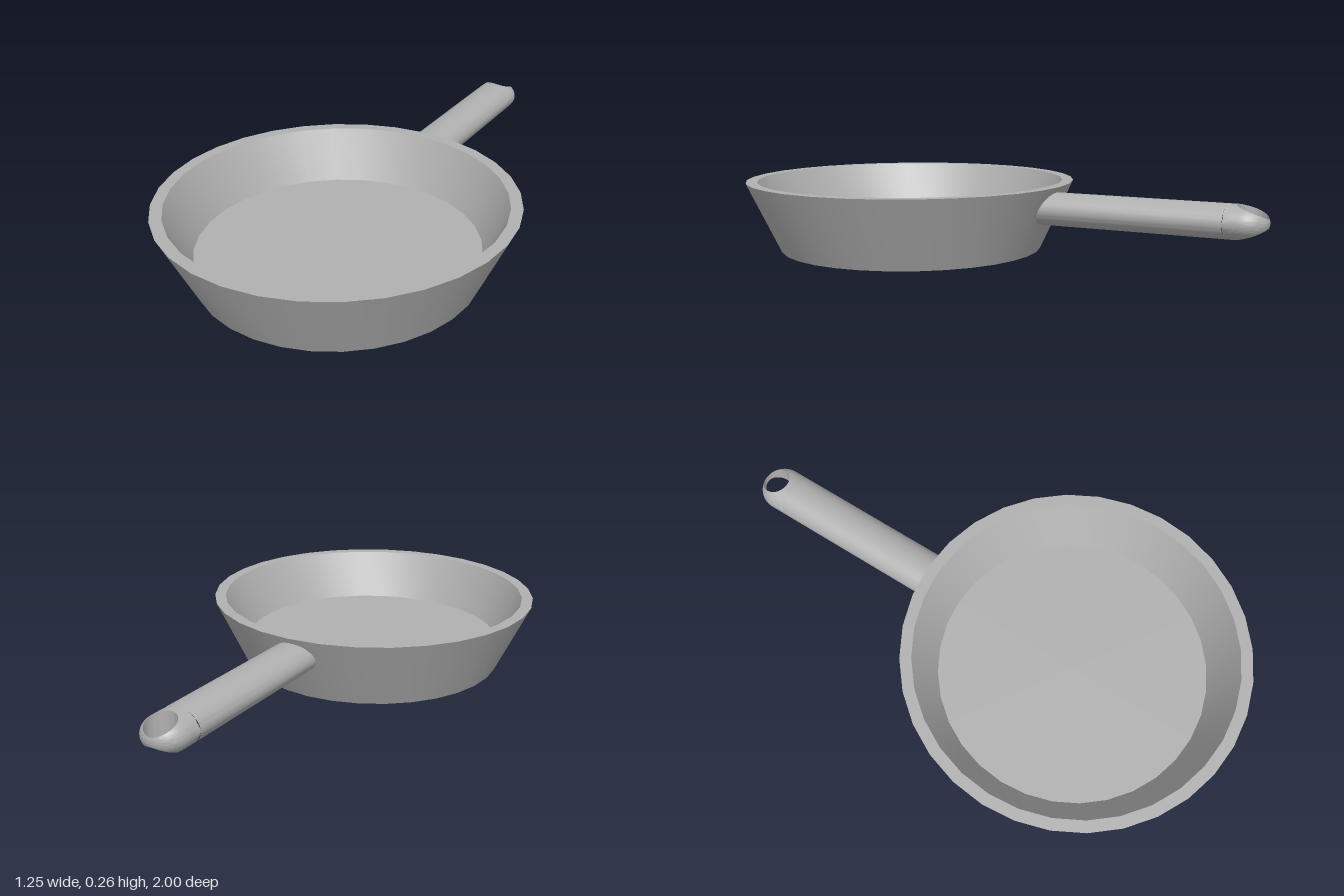
import * as THREE from 'three';
import { toCreasedNormals } from 'three/addons/utils/BufferGeometryUtils.js';

const PAN_Z = 0.375, R_BASE = 0.5, R_RIM = 0.625, HEIGHT = 0.265;
const HALF_W = 0.0825, HALF_H = 0.06, HANDLE_Y = 0.185; // oval handle section
const ROUND_Z = -0.9175;               // where the rounded tip begins
const HOLE_Z = -0.945, HOLE_R = 0.052; // hanging hole
const JOIN_Z = HOLE_Z + HALF_W;        // seam between grip and pierced tip

// Height of the handle surface above its middle plane
function handleHeight(x, z) {
  const dz = Math.min(0, z - ROUND_Z);
  return HALF_H * Math.sqrt(Math.max(0, 1 - (x * x + dz * dz) / (HALF_W * HALF_W)));
}

// Distance from the hole centre to the tip outline
function outlineDistance(angle) {
  const s = Math.abs(Math.sin(angle)), c = Math.cos(angle);
  const side = HALF_W / Math.max(s, 1e-6);
  if (HOLE_Z + side * c >= ROUND_Z) return c > 0 ? Math.min(side, HALF_W / c) : side;
  const off = ROUND_Z - HOLE_Z;
  return off * c + Math.sqrt(HALF_W * HALF_W - off * off * s * s);
}

// Handle tip: a closed section, top and bottom, swept around the hole
function tipGeometry() {
  const around = 48, steps = 8, positions = [], index = [];
  const ring = 2 * (steps + 1);
  for (let i = 0; i < around; i++) {
    const angle = (i / around) * Math.PI * 2;
    const outer = outlineDistance(angle);
    for (let j = 0; j < ring; j++) {
      const top = j <= steps;
      const t = Math.sin(((top ? j : ring - 1 - j) / steps) * Math.PI / 2);
      const d = HOLE_R + (outer - HOLE_R) * t;
      const x = d * Math.sin(angle), z = HOLE_Z + d * Math.cos(angle);
      positions.push(x, HANDLE_Y + (top ? 1 : -1) * handleHeight(x, z), z);
    }
    for (let j = 0; j < ring; j++) {
      const k = (j + 1) % ring, n = ((i + 1) % around) * ring;
      index.push(i * ring + j, i * ring + k, n + j, i * ring + k, n + k, n + j);
    }
  }
  const geometry = new THREE.BufferGeometry();
  geometry.setAttribute('position', new THREE.Float32BufferAttribute(positions, 3));
  geometry.setIndex(index);
  return toCreasedNormals(geometry, 0.8);
}

// Grip: oval tube whose root follows the slope of the pan wall
function gripGeometry() {
  const geometry = new THREE.CylinderGeometry(1, 1, 1, 48, 1, true);
  geometry.rotateX(Math.PI / 2);
  const p = geometry.attributes.position;
  for (let i = 0; i < p.count; i++) {
    const y = HANDLE_Y + p.getY(i) * HALF_H;
    const wall = R_BASE + (R_RIM - R_BASE) * y / HEIGHT;
    p.setXYZ(i, p.getX(i) * HALF_W, y, p.getZ(i) > 0 ? PAN_Z - wall + 0.02 : JOIN_Z);
  }
  return toCreasedNormals(geometry, 0.8);
}

export function createModel() {
  const model = new THREE.Group();
  model.name = 'fryingPan';
  const metal = new THREE.MeshStandardMaterial({ color: 0xb0b0b0 });
  metal.name = 'greyMetal';

  function add(name, geometry, parent) {
    const mesh = new THREE.Mesh(geometry, metal);
    mesh.name = name;
    parent.add(mesh);
    return mesh;
  }

  // Pan: base, sloping wall, flat rim, inner wall and cooking floor
  const profile = [
    [0, 0], [R_BASE, 0], [R_RIM, HEIGHT], [0.583, HEIGHT], [0.497, 0.085], [0, 0.085],
  ].map(([r, y]) => new THREE.Vector2(r, y));
  const pan = add('panBowl', toCreasedNormals(new THREE.LatheGeometry(profile, 32), 0.6), model);
  pan.position.z = PAN_Z;

  // Handle
  const handle = new THREE.Group();
  handle.name = 'handle';
  add('handleGrip', gripGeometry(), handle);
  add('handleTip', tipGeometry(), handle);
  model.add(handle);

  return model;
}
